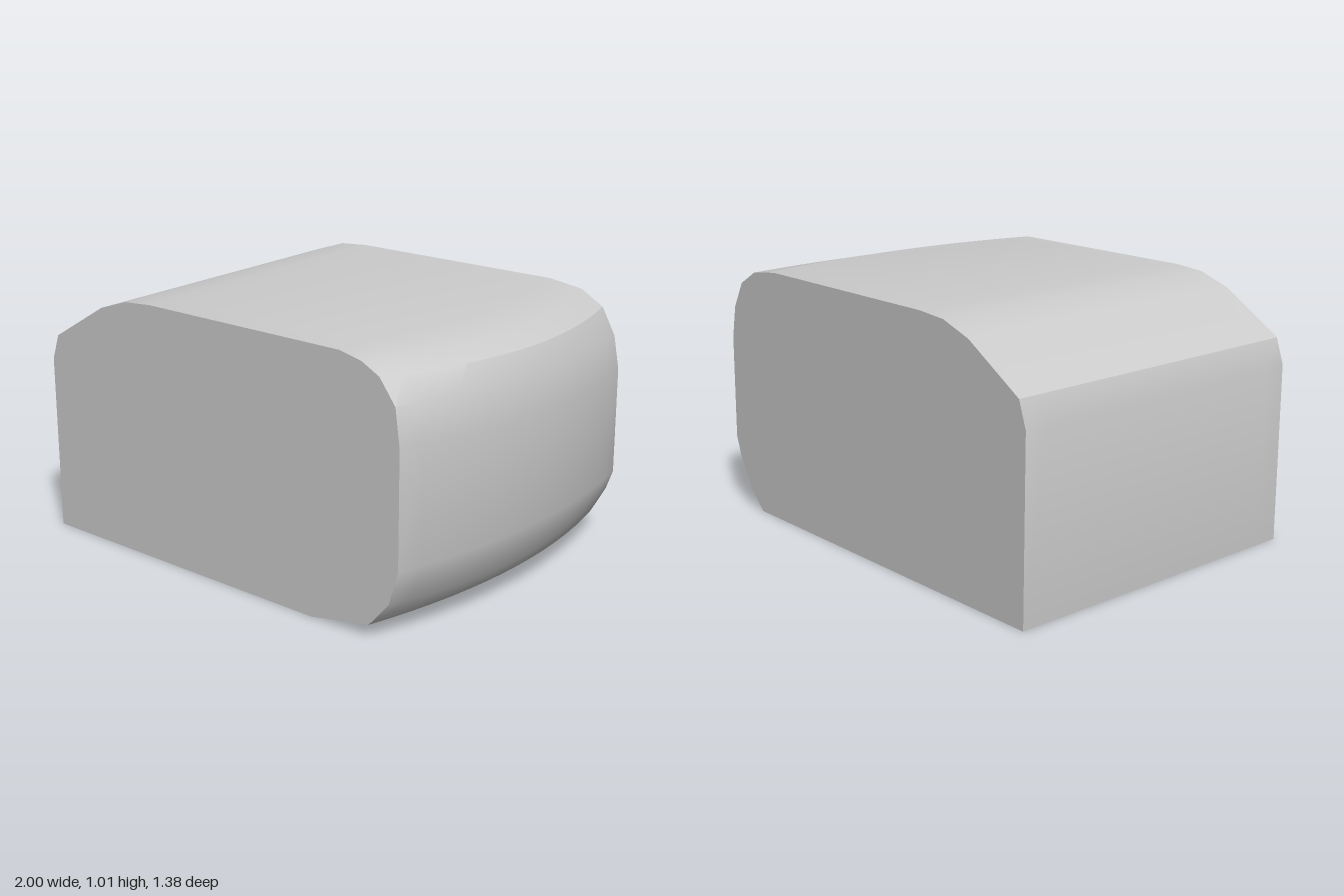
import * as THREE from 'three';
import { toCreasedNormals } from 'three/addons/utils/BufferGeometryUtils.js';

const Z_FRONT = 0.685, Z_BACK = -0.69;

// Rounded +x edge, bottom to top, at the front, the middle and the back
const FRONT = [[0.72, 0], [0.80, 0.05], [0.89, 0.15], [0.93, 0.28], [0.93, 0.72], [0.91, 0.86], [0.84, 0.95], [0.76, 0.99], [0.66, 1.01]];
const MIDDLE = [[0.75, 0], [0.90, 0.075], [0.96, 0.145], [0.995, 0.28], [1.0, 0.70], [0.975, 0.85], [0.935, 0.93], [0.86, 0.975], [0.70, 1.01]];
const BACK = [[0.695, 0], [0.79, 0.09], [0.855, 0.20], [0.885, 0.28], [0.885, 0.70], [0.86, 0.83], [0.80, 0.935], [0.70, 0.99], [0.55, 1.01]];

// Chamfered -x edge at the front, top to bottom; it slants outward to the back
const LEFT = [[-0.285, 1.01], [-0.42, 1.0], [-0.56, 0.955], [-0.83, 0.80], [-0.865, 0.70], [-0.855, 0]];

// Cross-section at depth z, counterclockwise seen from the front
function section(z) {
  const f = Z_FRONT, b = Z_BACK;
  const wf = z * (z - b) / (f * (f - b));
  const wm = (z - f) * (z - b) / (f * b);
  const wb = z * (z - f) / (b * (b - f));
  const right = FRONT.map((p, i) => [0, 1].map(k => p[k] * wf + MIDDLE[i][k] * wm + BACK[i][k] * wb));
  // the underside bevel widens towards the front corner
  right[0][0] -= 0.19 * Math.max(0, (z - 0.5) / (f - 0.5));
  const shift = -0.135 * (f - z) / (f - b);
  return [...right, ...LEFT.map(([x, y]) => [x + shift, y])];
}

function bodyGeometry(steps = 15) {
  const positions = [], index = [];
  const n = FRONT.length + LEFT.length;
  for (let i = 0; i <= steps; i++) {
    const z = THREE.MathUtils.lerp(Z_FRONT, Z_BACK, i / steps);
    for (const [x, y] of section(z)) positions.push(x, y, z);
  }
  // skin between neighbouring sections
  for (let i = 0; i < steps; i++) {
    for (let j = 0; j < n; j++) {
      const k = (j + 1) % n;
      const a = i * n + j, b = i * n + k, c = b + n, d = a + n;
      index.push(a, d, c, a, c, b);
    }
  }
  // flat front and back faces
  const last = steps * n;
  for (let j = 1; j < n - 1; j++) {
    index.push(0, j, j + 1, last, last + j + 1, last + j);
  }
  const geometry = new THREE.BufferGeometry();
  geometry.setAttribute('position', new THREE.Float32BufferAttribute(positions, 3));
  geometry.setIndex(index);
  return toCreasedNormals(geometry, 0.5);
}

export function createModel() {
  const group = new THREE.Group();
  const body = new THREE.Mesh(bodyGeometry(), new THREE.MeshStandardMaterial({ color: 0xcccccc }));
  body.name = 'body';
  group.add(body);
  return group;
}
